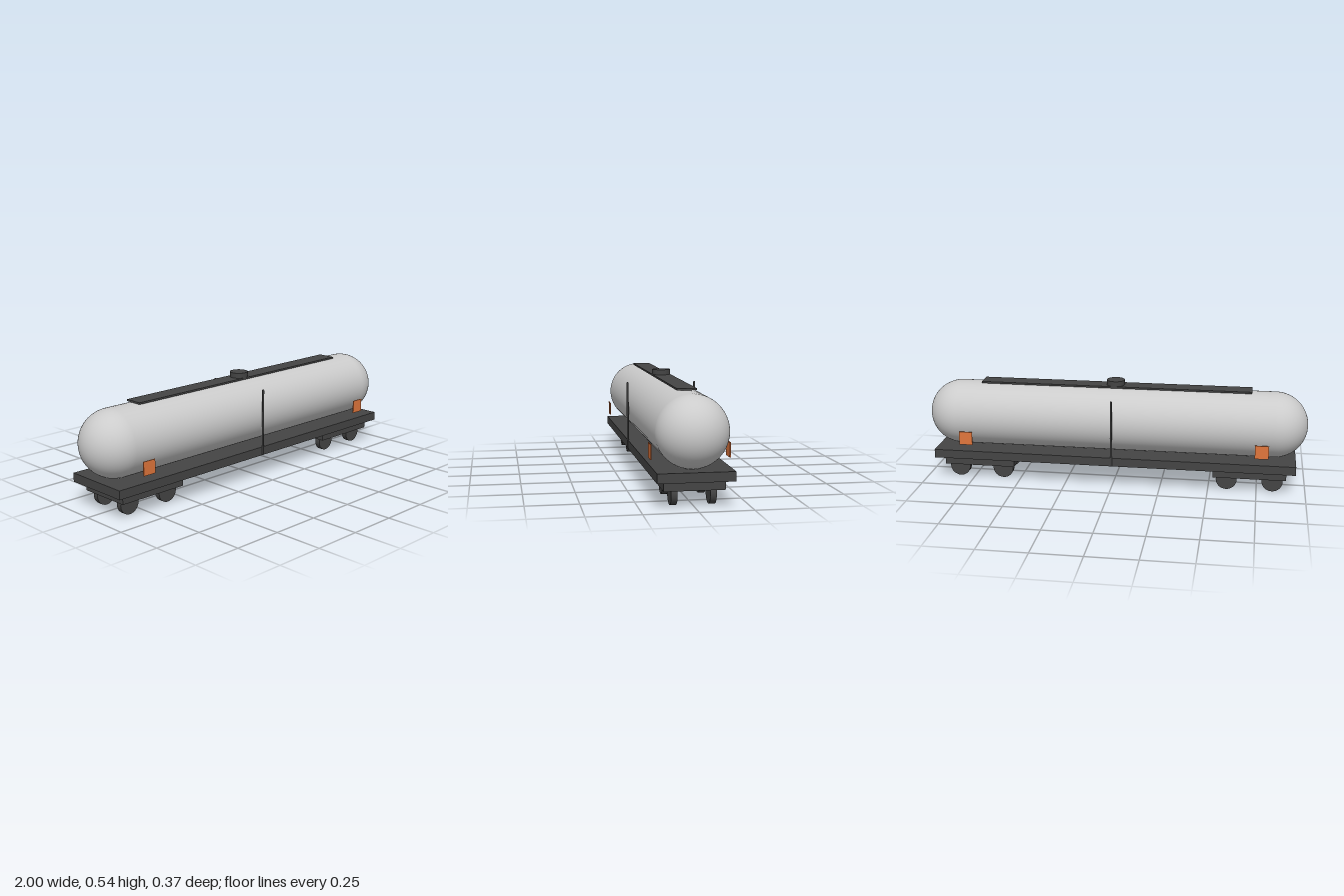
import * as THREE from 'three';

const grey = new THREE.MeshStandardMaterial({ color: 0xcccccc });
const dark = new THREE.MeshStandardMaterial({ color: 0x444444 });
const orange = new THREE.MeshStandardMaterial({ color: 0xe0763c });

export function createModel() {
  const model = new THREE.Group();
  model.name = 'tankWagon';

  const add = (name, geometry, material, x, y, z, parent = model) => {
    const mesh = new THREE.Mesh(geometry, material);
    mesh.name = name;
    mesh.position.set(x, y, z);
    parent.add(mesh);
    return mesh;
  };

  // Tank: a capsule lying along x
  const tankGeometry = new THREE.CapsuleGeometry(0.17, 1.66, 20, 56).rotateZ(Math.PI / 2);
  add('tank', tankGeometry, grey, 0, 0.332, 0);

  // Flat deck under the tank
  add('deck', new THREE.BoxGeometry(1.89, 0.045, 0.356), dark, 0, 0.143, 0);

  // Walkway and filler hatch on top
  add('walkway', new THREE.BoxGeometry(1.416, 0.009, 0.094), dark, 0, 0.508, 0);
  add('hatch', new THREE.CylinderGeometry(0.047, 0.047, 0.034, 32), dark, 0, 0.522, 0);

  // Bogies, each with a frame and four wheels
  const frameGeometry = new THREE.BoxGeometry(0.375, 0.046, 0.282);
  const wheelGeometry = new THREE.CylinderGeometry(0.054, 0.054, 0.029, 32).rotateX(Math.PI / 2);
  for (const end of [-1, 1]) {
    const bogie = new THREE.Group();
    bogie.name = end > 0 ? 'leftBogie' : 'rightBogie';
    bogie.position.x = end * 0.712;
    model.add(bogie);
    add('bogieFrame', frameGeometry, dark, 0, 0.098, 0, bogie);
    for (const dx of [-0.118, 0.118]) {
      for (const z of [-0.0895, 0.0895]) add('wheel', wheelGeometry, dark, dx, 0.054, z, bogie);
    }
  }

  // Upright rods and warning panels on both sides
  const rodGeometry = new THREE.CapsuleGeometry(0.0055, 0.342, 4, 12);
  const panelGeometry = new THREE.BoxGeometry(0.07, 0.07, 0.005);
  for (const side of [-1, 1]) {
    add('sideRod', rodGeometry, dark, 0, 0.2965, side * 0.178);
    for (const x of [-0.77, 0.77]) add('warningPanel', panelGeometry, orange, x, 0.238, side * 0.183);
  }

  return model;
}
